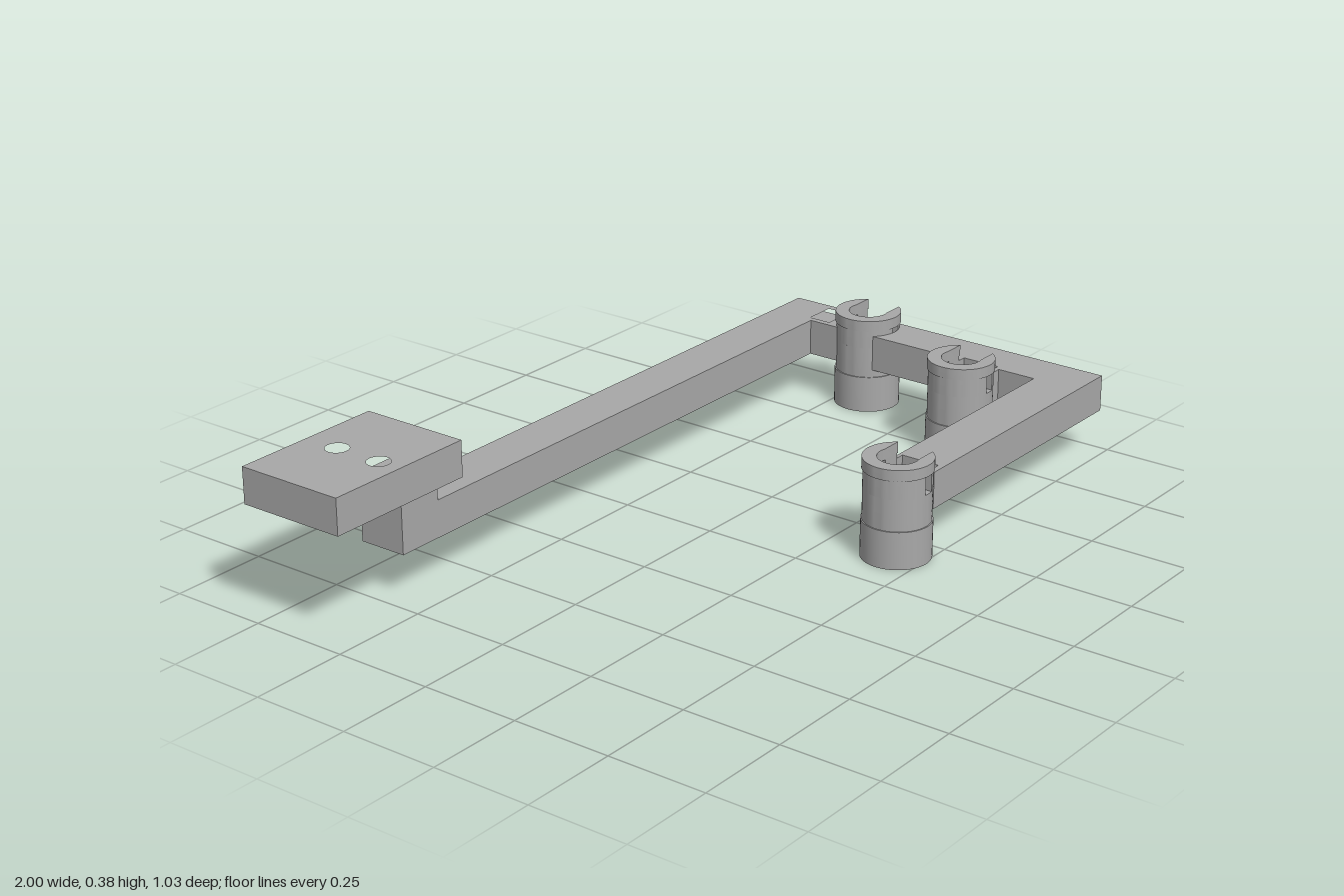
import * as THREE from 'three';
import { toCreasedNormals } from 'three/addons/utils/BufferGeometryUtils.js';

const grey = new THREE.MeshStandardMaterial({ color: 0xa8a8a8 });
grey.name = 'plain grey';

// points are [x, z] plan positions
const toVec = (pts) => pts.map(([x, z]) => new THREE.Vector2(x, -z));

// arc of plan points around (cx, cz)
function arc(cx, cz, r, a0, a1, n = 32) {
  const pts = [];
  for (let i = 0; i <= n; i++) {
    const a = a0 + (a1 - a0) * i / n;
    pts.push([cx + r * Math.cos(a), cz + r * Math.sin(a)]);
  }
  return pts;
}

const circle = (cx, cz, r) => arc(cx, cz, r, 0, Math.PI * 2, 48).slice(0, -1);

// plan outline raised from y0 to y1
function slab(name, outline, y0, y1, holes = []) {
  const shape = new THREE.Shape(toVec(outline));
  shape.holes = holes.map((h) => new THREE.Path(toVec(h)));
  let geo = new THREE.ExtrudeGeometry(shape, { depth: y1 - y0, bevelEnabled: false });
  geo.rotateX(-Math.PI / 2);
  geo.translate(0, y0, 0);
  geo = toCreasedNormals(geo, 0.5);
  const mesh = new THREE.Mesh(geo, grey);
  mesh.name = name;
  return mesh;
}

const rect = (x0, x1, z0, z1) => [[x0, z0], [x1, z0], [x1, z1], [x0, z1]];

// sleeve with a full ring base and a slotted upper wall that opens to +x
function sleeve(x, z) {
  const g = new THREE.Group();
  g.name = 'sleeve';
  const BORE = 0.05, SLOT = 0.048, TAU = Math.PI * 2;
  const body = 0.082, rim = 0.085;
  const inner = Math.asin(SLOT / BORE);
  const cShape = (r) => {
    const a = Math.asin(SLOT / r);
    return [...arc(0, 0, r, a, TAU - a, 44), ...arc(0, 0, BORE, TAU - inner, inner, 36)];
  };
  g.add(slab('sleeveBase', circle(0, 0, rim), 0, 0.095, [circle(0, 0, BORE)]));
  g.add(slab('sleeveWall', cShape(body), 0.095, 0.175));

  // wall interrupted by a small window on each side
  const w0 = -0.007, w1 = 0.02;
  const o = Math.acos(w0 / body), i = Math.acos(w0 / BORE);
  g.add(slab('windowBackWall',
    [...arc(0, 0, body, o, TAU - o), ...arc(0, 0, BORE, TAU - i, i)], 0.175, 0.222));
  for (const s of [1, -1]) {
    const tip = [...arc(0, 0, body, Math.asin(SLOT / body), Math.acos(w1 / body), 8), [w1, SLOT]];
    g.add(slab('windowTip', tip.map(([px, pz]) => [px, pz * s]), 0.175, 0.222));
  }
  g.add(slab('sleeveRim', cShape(rim), 0.222, 0.25));
  g.position.set(x, 0, z);
  return g;
}

export function createModel() {
  const model = new THREE.Group();
  model.name = 'bracket';
  const LOW = 0.115, HIGH = 0.208;
  const cx = 0.91, cz = -0.175, r = 0.082;
  const a = Math.acos(0.06 / r);

  // rear arm with a short stub that meets the corner sleeve
  const rear = [
    [-0.72, -0.44], [0.97, -0.44],
    ...arc(cx, cz, r, -a, a - Math.PI, 16),
    [0.85, -0.315], [-0.72, -0.315],
  ];
  model.add(slab('rearArm', rear, LOW, 0.188));
  // shallow pocket in the top of the stub
  model.add(slab('rearArmTop', rear, 0.188, HIGH, [rect(0.867, 0.95, -0.328, -0.268)]));

  // side arm and front arm, forked where they grip the sleeves
  model.add(slab('frontArm', [
    ...arc(cx, cz, r, a, Math.PI - a, 16),
    [0.85, 0.1375], [0.82, 0.1375], [0.82, 0.15], [0.865, 0.15],
    [0.865, 0.25], [0.82, 0.25], [0.82, 0.2625], [0.85, 0.2625],
    [0.85, 0.365], [0.21, 0.365], [0.21, 0.375], [0.25, 0.375],
    [0.25, 0.475], [0.21, 0.475], [0.21, 0.49], [0.97, 0.49],
  ], LOW, HIGH));

  // mounting plate on its riser
  model.add(slab('riser', rect(-0.72, -0.6, -0.44, -0.315), HIGH, 0.285));
  model.add(slab('mountingPlate', rect(-1, -0.6, -0.518, -0.237), 0.285, 0.375,
    [circle(-0.8, -0.425, 0.028), circle(-0.8, -0.3, 0.028)]));

  // three sleeves
  for (const [x, z] of [[0.157, 0.425], [0.772, 0.2], [cx, cz]]) model.add(sleeve(x, z));
  return model;
}
